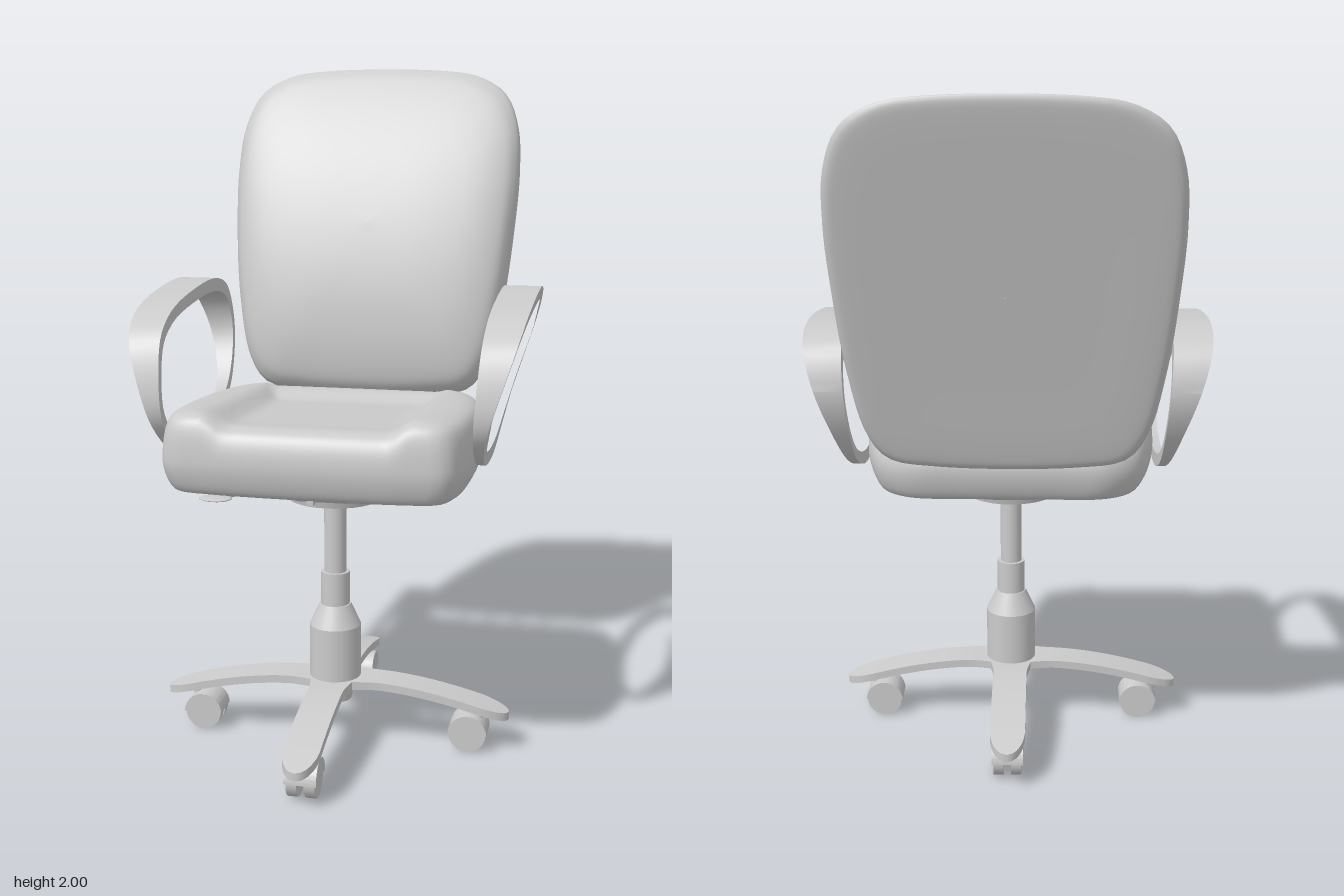
import * as THREE from 'three';
import { toCreasedNormals } from 'three/addons/utils/BufferGeometryUtils.js';

const BASE_Z = 0.127; // the column and base stand a little forward of centre
const smooth = THREE.MathUtils.smoothstep;

function add(parent, name, geometry, x = 0, y = 0, z = 0) {
  const material = new THREE.MeshStandardMaterial({ color: 0xcccccc });
  const mesh = new THREE.Mesh(geometry, material);
  mesh.name = name;
  mesh.position.set(x, y, z);
  parent.add(mesh);
  return mesh;
}

const spline = (pts, closed) =>
  new THREE.CatmullRomCurve3(pts.map(([a, b]) => new THREE.Vector3(a, b, 0)), closed);

// Cushion: a mirrored outline scaled by each profile step, then placed by a rule
function cushion(half, profile, place) {
  const mirrored = half.map(([a, b]) => [-a, b]).reverse();
  const n = 112;
  const outline = spline([...half, ...mirrored], true).getSpacedPoints(n).slice(0, n);
  const steps = spline(profile, false).getPoints(54);
  const positions = [];
  const index = [];
  steps.forEach(({ x: s, y: h }, i) => {
    outline.forEach((p, j) => {
      positions.push(...place(p.x * s, p.y * s, h));
      if (i === 0) return;
      const k = (j + 1) % n;
      const low = (i - 1) * n;
      const high = i * n;
      index.push(low + j, low + k, high + k, low + j, high + k, high + j);
    });
  });
  const geometry = new THREE.BufferGeometry();
  geometry.setAttribute('position', new THREE.Float32BufferAttribute(positions, 3));
  geometry.setIndex(index);
  geometry.computeVertexNormals();
  return geometry;
}

// Tilted slab, flat behind and domed in front
function backrestGeometry() {
  const half = [[0.2, -0.53], [0.33, -0.505], [0.385, -0.43], [0.43, -0.23], [0.455, 0.02],
    [0.462, 0.19], [0.45, 0.34], [0.405, 0.45], [0.32, 0.508], [0.2, 0.53]];
  const profile = [[0.002, 0], [0.5, 0], [0.9, 0], [0.96, 0.03], [0.995, 0.17], [1, 0.35],
    [0.975, 0.58], [0.91, 0.78], [0.75, 0.92], [0.45, 1], [0.002, 1.02]];
  return cushion(half, profile, (x, b, h) => {
    const v = b + 0.53;
    const depth = h * (0.12 + 0.24 * v - 0.29 * v * v);
    return [x, 0.97 + 0.963 * v + 0.269 * depth, -0.365 - 0.269 * v + 0.963 * depth];
  });
}

// Seat with raised side and rear bolsters around a dished centre
function seatGeometry() {
  const half = [[0.15, -0.397], [0.3, -0.388], [0.385, -0.37], [0.42, -0.29], [0.435, -0.1],
    [0.43, 0.1], [0.41, 0.25], [0.37, 0.36], [0.29, 0.412], [0.15, 0.418]];
  const profile = [[0.002, 0.87], [0.6, 0.868], [0.85, 0.845], [0.95, 0.855], [1, 0.92],
    [0.993, 0.97], [0.95, 1.01], [0.86, 1.03], [0.6, 1.03], [0.3, 1.03], [0.002, 1.03]];
  return cushion(half, profile, (x, b, h) => {
    const z = 0.15 - b;
    const side = smooth(Math.abs(x), 0.22, 0.29);
    const rear = 0.7 * smooth(-z, 0.06, 0.17);
    const slope = 0.045 * (0.45 - z) / 0.7;
    const top = smooth(h, 0.93, 1.01);
    return [x, h + top * (0.037 * Math.max(side, rear) - slope), z];
  });
}

// Closed loop, wide on top and narrow where it meets the seat
function armrestGeometry(side) {
  const loop = [[0.41, 1.07], [0.365, 1.235], [0.27, 1.3], [0.03, 1.345], [-0.22, 1.35],
    [-0.325, 1.31], [-0.368, 1.21], [-0.35, 1.11], [-0.26, 0.985], [-0.07, 0.9],
    [0.14, 0.885], [0.3, 0.92], [0.39, 1.0]];
  const hole = loop.map(([z, y]) => [0.02 + (z - 0.02) * 0.936, 1.12 + (y - 1.12) * 0.83]);
  const trace = (pts) => spline(pts.map(([z, y]) => [-side * z, y]), true)
    .getSpacedPoints(80).slice(0, 80).map((p) => new THREE.Vector2(p.x, p.y));
  const shape = new THREE.Shape(trace(loop));
  shape.holes.push(new THREE.Path(trace(hole)));
  const geometry = new THREE.ExtrudeGeometry(shape, { depth: 1, bevelEnabled: false });
  geometry.rotateY(side * Math.PI / 2);
  const pos = geometry.attributes.position;
  for (let i = 0; i < pos.count; i++) {
    const k = smooth(pos.getY(i), 0.87, 1.42);
    const inner = 0.432 + 0.024 * k;
    const width = 0.022 + 0.094 * k;
    pos.setX(i, side * (inner + width * Math.abs(pos.getX(i))));
  }
  return toCreasedNormals(geometry, 0.6);
}

// Arched leg along +x with a rounded tip
function legGeometry() {
  const length = 0.527;
  const geometry = new THREE.BoxGeometry(1, 0.024, 2, 40, 1, 4);
  const pos = geometry.attributes.position;
  for (let i = 0; i < pos.count; i++) {
    const t = THREE.MathUtils.clamp(pos.getX(i) + 0.5, 0, 1);
    const r = length * t * (1.6 - 0.6 * t); // finer steps near the tip
    const tip = Math.max(0, (r - 0.43) / 0.0971);
    const flare = 0.02 * (1 - smooth(r, 0, 0.14));
    const width = (0.052 + flare) * Math.sqrt(Math.max(0.001, 1 - tip * tip));
    const drop = 0.078 * Math.pow(Math.max(0, (r - 0.12) / 0.407), 1.7);
    pos.setXYZ(i, r, 0.188 + pos.getY(i) - drop, pos.getZ(i) * width);
  }
  return toCreasedNormals(geometry, 0.6);
}

// Twin wheels under a half-round hood
function addCaster(parent) {
  const caster = new THREE.Group();
  caster.name = 'caster';
  caster.position.set(0.408, 0.055, 0);
  parent.add(caster);
  for (const s of [-1, 1]) {
    add(caster, 'wheel', new THREE.CylinderGeometry(0.055, 0.055, 0.03, 24).rotateX(Math.PI / 2), 0, 0, s * 0.026);
  }
  const arc = new THREE.Shape();
  arc.absarc(0, 0, 0.058, 0, Math.PI, false);
  const hood = new THREE.ExtrudeGeometry(arc, { depth: 0.092, bevelEnabled: false, curveSegments: 16 });
  add(caster, 'hood', toCreasedNormals(hood, 0.6), 0, 0, -0.046);
  add(caster, 'casterStem', new THREE.CylinderGeometry(0.012, 0.012, 0.06, 12), 0.03, 0.06, 0);
}

export function createModel() {
  const chair = new THREE.Group();
  chair.name = 'officeChair';

  add(chair, 'backrest', backrestGeometry());
  add(chair, 'seat', seatGeometry());
  add(chair, 'leftArmrest', armrestGeometry(1));
  add(chair, 'rightArmrest', armrestGeometry(-1));

  // Mechanism under the seat
  const pan = new THREE.CylinderGeometry(0.27, 0.2, 0.085, 8).rotateY(Math.PI / 8);
  pan.scale(0.95, 1, 1);
  add(chair, 'seatPan', toCreasedNormals(pan, 0.5), 0, 0.8275, BASE_Z);
  add(chair, 'mountingDisc', new THREE.CylinderGeometry(0.148, 0.14, 0.03, 32), 0, 0.77, BASE_Z);
  add(chair, 'tensionKnob', new THREE.BoxGeometry(0.02, 0.05, 0.06), -0.02, 0.815, 0.34);

  // Height lever
  const rod = new THREE.LineCurve3(new THREE.Vector3(-0.14, 0.81, 0.25), new THREE.Vector3(-0.28, 0.805, 0.395));
  add(chair, 'leverRod', new THREE.TubeGeometry(rod, 1, 0.006, 8));
  const paddle = add(chair, 'leverPaddle', new THREE.SphereGeometry(1, 16, 10), -0.285, 0.805, 0.4);
  paddle.scale.set(0.048, 0.006, 0.036);

  // Gas column: top radius, bottom radius, bottom y, top y
  [['piston', 0.033, 0.033, 0.5, 0.77], ['sleeve', 0.043, 0.043, 0.41, 0.525],
    ['collar', 0.047, 0.077, 0.36, 0.425], ['housing', 0.077, 0.077, 0.18, 0.36],
    ['hub', 0.06, 0.05, 0.125, 0.195]].forEach(([name, top, bottom, y0, y1]) => {
    add(chair, name, new THREE.CylinderGeometry(top, bottom, y1 - y0, 28), 0, (y0 + y1) / 2, BASE_Z);
  });

  // Four-legged base
  for (let i = 0; i < 4; i++) {
    const arm = new THREE.Group();
    arm.name = 'baseArm';
    arm.position.z = BASE_Z;
    arm.rotation.y = i * Math.PI / 2;
    chair.add(arm);
    add(arm, 'leg', legGeometry());
    addCaster(arm);
  }
  return chair;
}
